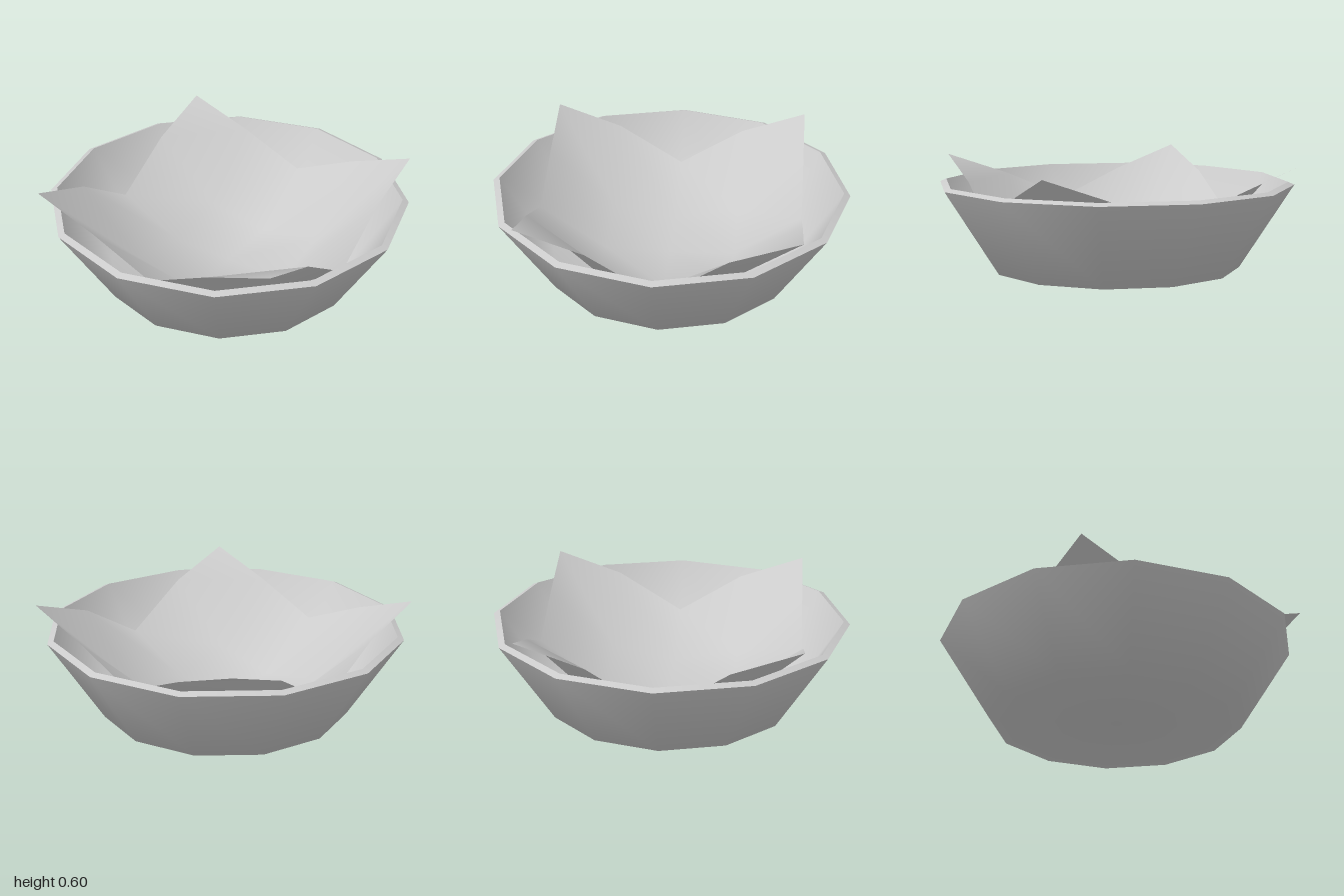
import * as THREE from 'three';

const SIDES = 12;

export function createModel() {
  const group = new THREE.Group();
  const material = new THREE.MeshStandardMaterial({ color: 0xcccccc, side: THREE.DoubleSide });

  function add(name, geometry) {
    const mesh = new THREE.Mesh(geometry, material);
    mesh.name = name;
    group.add(mesh);
  }

  // Twelve-sided bowl: smooth outer shell, smooth inner shell and a sharp slanted rim
  function lathe(name, profile) {
    add(name, new THREE.LatheGeometry(profile.map(([r, y]) => new THREE.Vector2(r, y)), SIDES));
  }
  lathe('bowlOutside', [[0, 0], [0.7, 0], [1, 0.47]]);
  lathe('bowlRim', [[1, 0.47], [0.965, 0.485]]);
  lathe('bowlInside', [[0.965, 0.485], [0.68, 0.035], [0, 0.035]]);

  // Square cloth lying in the bowl, its four corners standing above the rim.
  // Heights by grid steps from the centre: heights[|x step|][|z step|]
  const heights = [
    [0.05, 0.06, 0.31],
    [0.06, 0.13, 0.47],
    [0.24, 0.47, 0.6],
  ];
  const size = 1.48;
  const step = size / 4;
  const cloth = new THREE.PlaneGeometry(size, size, 4, 4).rotateX(-Math.PI / 2);
  const pos = cloth.attributes.position;
  for (let i = 0; i < pos.count; i++) {
    const a = Math.round(Math.abs(pos.getX(i)) / step);
    const b = Math.round(Math.abs(pos.getZ(i)) / step);
    pos.setY(i, heights[a][b]);
  }
  cloth.computeVertexNormals();
  add('cloth', cloth);

  return group;
}
